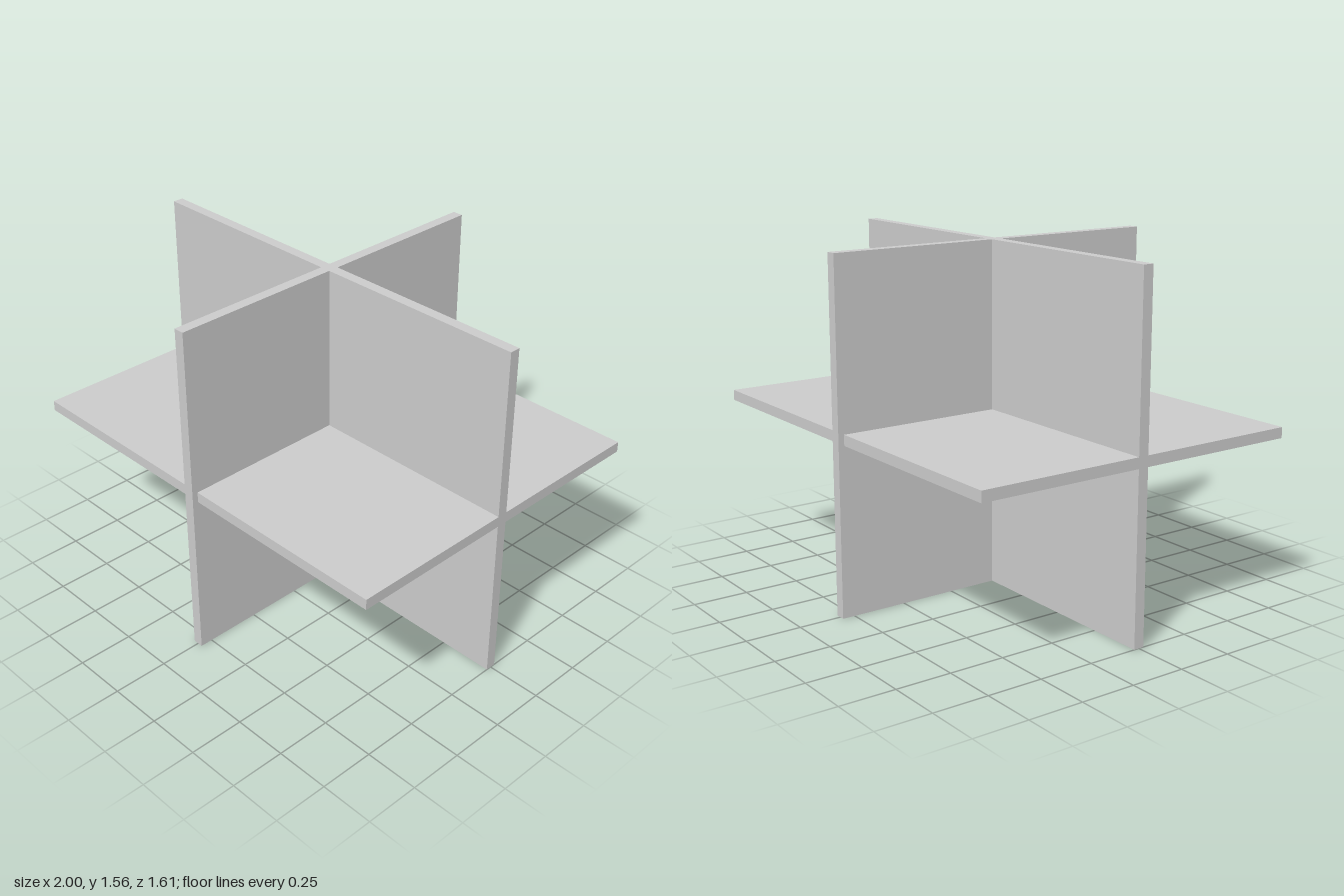
import * as THREE from 'three';

// Three interlocking panels crossing at right angles. The panels are cut
// where they meet, so that no faces overlap.
export function createModel() {
  const model = new THREE.Group();
  const material = new THREE.MeshStandardMaterial({ color: 0xcccccc });

  const h = 0.024;        // half panel thickness
  const height = 1.56;
  const halfWidth = 1;
  const sideDepth = 0.807; // half depth of the side-facing panel
  const shelfDepth = 0.78; // half depth of the horizontal panel
  const midY = 0.782;

  function addPanel(name, size, position) {
    const mesh = new THREE.Mesh(new THREE.BoxGeometry(...size), material);
    mesh.name = name;
    mesh.position.set(...position);
    model.add(mesh);
  }

  // Upright panel running front to back
  addPanel('sidePanel', [2 * h, height, 2 * sideDepth], [0, height / 2, 0]);

  for (const sx of [-1, 1]) {
    const side = sx > 0 ? 'Left' : 'Right';
    const w = halfWidth - h;
    const x = sx * (halfWidth + h) / 2;

    // Upright panel running left to right
    addPanel('frontPanel' + side, [w, height, 2 * h], [x, height / 2, 0]);

    // Horizontal panel, one quarter in each corner
    for (const sz of [-1, 1]) {
      addPanel('horizontalPanel' + (sz > 0 ? 'Front' : 'Back') + side,
        [w, 2 * h, shelfDepth - h], [x, midY, sz * (shelfDepth + h) / 2]);
    }
  }
  return model;
}
